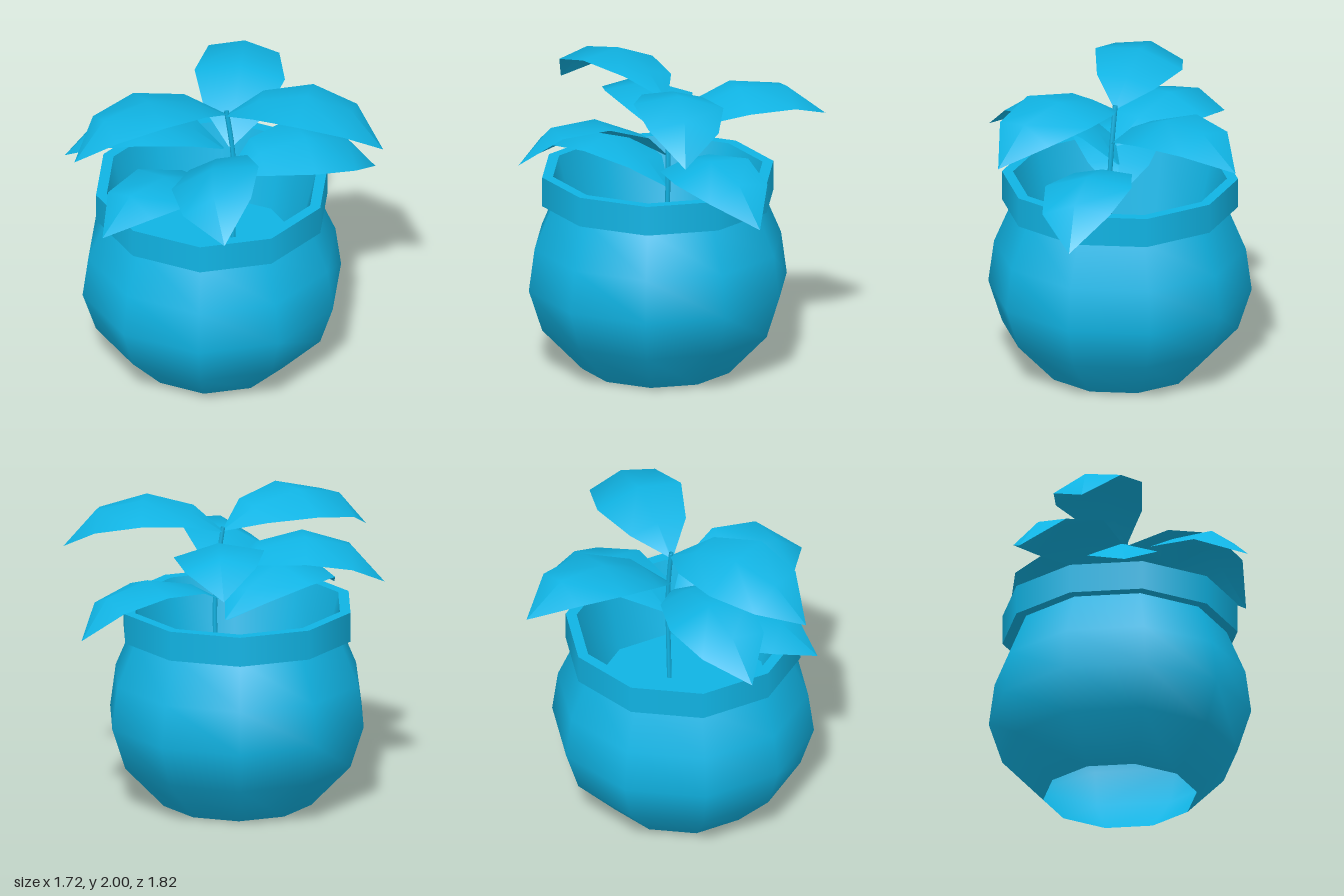
import * as THREE from 'three';

const SIDES = 10;
const V = (x, y, z) => new THREE.Vector3(x, y, z);

export function createModel() {
  const model = new THREE.Group();
  model.name = 'pottedPlant';
  const blue = new THREE.MeshStandardMaterial({ color: 0x10b4e4, side: THREE.DoubleSide });
  blue.name = 'blue';

  const add = (parent, name, geometry) => {
    const mesh = new THREE.Mesh(geometry, blue);
    mesh.name = name;
    parent.add(mesh);
  };

  // Pot, open underneath: one ten-sided lathe per band, so the bands meet in sharp edges
  const pot = new THREE.Group();
  pot.name = 'pot';
  pot.position.set(-0.068, 0, 0.03);
  model.add(pot);
  const bands = {
    potBody: [[0.49, 0], [0.75, 0.275], [0.837, 0.545], [0.8, 0.82], [0.68, 1.105]],
    rimUnderside: [[0.68, 1.105], [0.75, 1.105]],
    rimOutside: [[0.75, 1.105], [0.75, 1.297]],
    rimTop: [[0.75, 1.297], [0.68, 1.297]],
    potInside: [[0.68, 1.297], [0.56, 0.8]],
    soil: [[0.56, 0.8], [0, 0.8]],
  };
  for (const [name, profile] of Object.entries(bands)) {
    add(pot, name, new THREE.LatheGeometry(profile.map(([r, y]) => new THREE.Vector2(r, y)), SIDES));
  }

  // Stem: a thin tube leaning slightly as it rises
  const stemPath = new THREE.CatmullRomCurve3([
    V(0.02, 0.79, -0.07), V(0.025, 1.3, -0.08), V(0.01, 1.55, -0.075), V(-0.018, 1.81, -0.053),
  ]);
  add(model, 'stem', new THREE.TubeGeometry(stemPath, 8, 0.016, 6));

  // Leaf cross-sections: distance along, half width, arch height, droop of the edges
  const sections = [
    [0, 0.012, 0, 0],
    [0.185, 0.192, 0.155, 0.03],
    [0.475, 0.288, 0.262, 0.07],
    [0.77, 0.225, 0.225, 0.07],
    [1, 0, 0, 0],
  ];

  // Arched leaf from base to tip, rolled about the line between them
  const leafGeometry = (base, tip, rollDegrees) => {
    const along = tip.clone().sub(base);
    const dir = along.clone().normalize();
    const side = V(dir.z, 0, -dir.x).normalize();
    const up = dir.clone().cross(side).normalize();
    const roll = THREE.MathUtils.degToRad(rollDegrees);
    const s = side.clone().multiplyScalar(Math.cos(roll)).addScaledVector(up, Math.sin(roll));
    const n = up.clone().multiplyScalar(Math.cos(roll)).addScaledVector(side, -Math.sin(roll));
    const positions = [];
    const index = [];
    sections.forEach(([t, width, arch, droop], i) => {
      for (const k of [-1, 0, 1]) {
        const p = base.clone().addScaledVector(along, t)
          .addScaledVector(s, k * width)
          .addScaledVector(n, arch - Math.abs(k) * droop);
        positions.push(p.x, p.y, p.z);
      }
      if (i === 0) return;
      for (let k = 0; k < 2; k++) {
        const a = (i - 1) * 3 + k, b = a + 1, c = a + 3, d = a + 4;
        // the last section closes to a point
        if (i < sections.length - 1) index.push(a, c, b, b, c, d);
        else index.push(a, c, b);
      }
    });
    const g = new THREE.BufferGeometry();
    g.setAttribute('position', new THREE.Float32BufferAttribute(positions, 3));
    g.setIndex(index);
    g.computeVertexNormals();
    return g;
  };

  // Leaves: base, tip, roll
  const leaves = [
    ['upperLeftLeaf', V(-0.02, 1.78, -0.05), V(0.86, 1.66, -0.56), -5],
    ['upperRightLeaf', V(-0.02, 1.79, -0.05), V(-0.48, 1.68, 0.875), 9],
    ['middleBackLeaf', V(0.01, 1.55, -0.06), V(-0.605, 1.63, -0.895), 4],
    ['middleLeftLeaf', V(-0.04, 1.405, -0.05), V(0.63, 1.45, 0.69), 17],
    ['middleRightLeaf', V(-0.03, 1.53, -0.04), V(-0.825, 1.43, 0.58), 6],
    ['lowerFrontLeaf', V(-0.04, 1.2, -0.05), V(-0.21, 1.24, 0.91), 4],
    ['lowerBackLeaf', V(-0.01, 1.33, -0.06), V(0.48, 1.185, -0.91), 6],
  ];
  for (const [name, base, tip, roll] of leaves) add(model, name, leafGeometry(base, tip, roll));

  return model;
}
